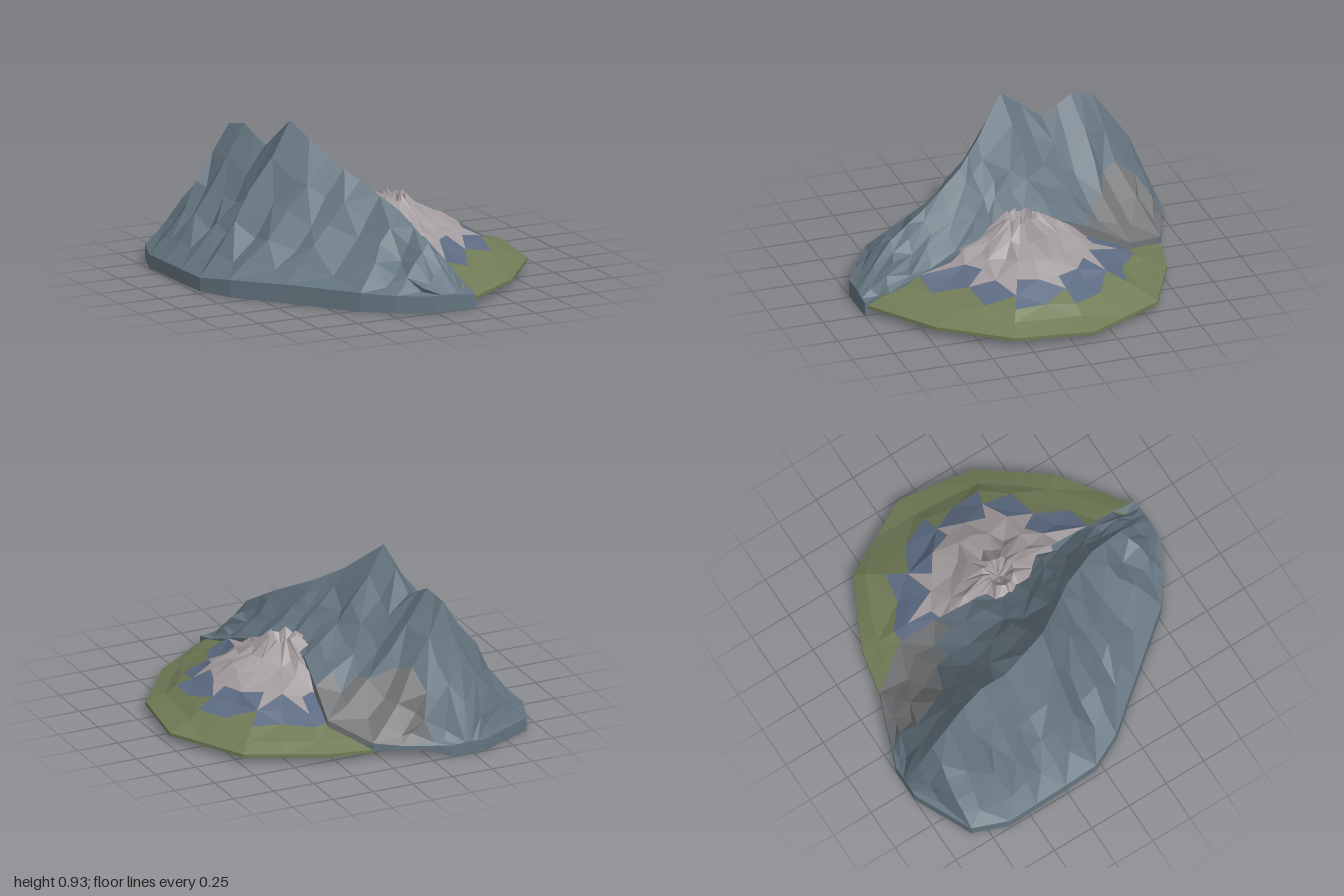
import * as THREE from 'three';

// Repeatable noise in -1..1 for a lattice point
const noise = (i, j, k) => {
  const v = Math.sin(i * 127.1 + j * 311.7 + k * 74.7) * 43758.5453;
  return (v - Math.floor(v)) * 2 - 1;
};
const lerp = (a, b, t) => a.map((v, k) => v + (b[k] - v) * t);

// Insert extra points between the stations of a polyline
function densify(points, steps, closed = false) {
  const out = [];
  const spans = closed ? points.length : points.length - 1;
  for (let i = 0; i < spans; i++) {
    const next = points[(i + 1) % points.length];
    for (let k = 0; k < steps; k++) out.push(lerp(points[i], next, k / steps));
  }
  out.push(closed ? points[0] : points[points.length - 1]);
  return out;
}

// Facet a lattice of rows and sort its triangles into named parts
function facet(rows, partOf, buckets) {
  const add = (...tri) => {
    const c = [0, 1, 2].map(k => (tri[0][k] + tri[1][k] + tri[2][k]) / 3);
    (buckets[partOf(c)] ??= []).push(...tri.flat());
  };
  for (let i = 0; i < rows.length - 1; i++) {
    for (let j = 0; j < rows[i].length - 1; j++) {
      const a = rows[i][j], b = rows[i + 1][j], c = rows[i][j + 1], d = rows[i + 1][j + 1];
      if ((i + j) % 2) { add(a, b, c); add(c, b, d); }
      else { add(a, b, d); add(a, d, c); }
    }
  }
}

// Mountain: a ridge line with a foot line on each side, north to south
const RIDGE = [[-.47, .08, -1], [-.5, .48, -.84], [-.49, .79, -.62], [-.46, .82, -.48], [-.43, .72, -.3],
  [-.4, .93, -.04], [-.25, .74, .15], [-.13, .63, .3], [0, .49, .55], [.06, .35, .78], [.12, .1, 1]];
const WEST = [[-.57, .07, -1], [-.91, .08, -.84], [-.99, .08, -.63], [-.985, .08, -.45], [-.98, .08, -.25],
  [-.97, .08, -.04], [-.88, .1, .15], [-.66, .11, .42], [-.37, .11, .78], [-.2, .1, .9], [-.02, .1, 1]];
const EAST = [[-.37, .07, -1], [-.1, .08, -.9], [.05, .1, -.84], [.22, .18, -.6], [.19, .3, -.38],
  [.15, .38, -.15], [.17, .36, .08], [.21, .33, .3], [.23, .22, .6], [.25, .12, .85], [.25, .08, 1]];

function buildMountain(buckets) {
  const STEPS = 5;
  const ridge = densify(RIDGE, 2), west = densify(WEST, 2), east = densify(EAST, 2);
  const last = ridge.length - 1;

  // A concave slope point, with spurs and gullies on alternating rows
  const slope = (i, foot, s, power, seed) => {
    const p = lerp(ridge[i], foot, s);
    p[1] = foot[1] + (ridge[i][1] - foot[1]) * Math.pow(1 - s, power);
    if (s > 0 && s < 1 && i > 0 && i < last) {
      const rough = Math.sin(Math.PI * s);
      p[0] += .025 * rough * noise(i, s * 5, seed);
      p[1] += rough * ((i % 2 ? -.02 : .02) + .02 * noise(i, s * 5, seed + 1));
      p[2] += .03 * rough * noise(i, s * 5, seed + 2);
    }
    return p;
  };

  const rows = ridge.map((top, i) => {
    const under = [top[0], .07, top[2]];
    const [w, e] = [west[i], east[i]];
    const inner = lerp(w, top, .14);
    const end = i === 0 || i === last;
    const row = [under, [inner[0], .06, inner[2]], [w[0], 0, w[2]]];
    for (let j = STEPS; j >= 0; j--) row.push(slope(i, w, j / STEPS, 1.25, 1));
    for (let j = 1; j <= STEPS; j++) row.push(slope(i, e, j / STEPS, 1.5, 7));
    row.push([e[0], end ? 0 : .05, e[2]], under);
    return row;
  });

  // Vertical walls closing both ends
  const drop = row => row.map(p => [p[0], 0, p[2]]);
  rows.unshift(drop(rows[0]));
  rows.push(drop(rows[rows.length - 1]));

  const part = ([x, y, z]) => (y > .09 && x > -.28 && z < -.46 + .92 * x ? 'screeSlope' : 'mountain');
  facet(rows, part, buckets);
}

// Volcano: rays running from the crater to an angular base outline
const CRATER = [.2, .05];
const OUTLINE = [[.98, -.12], [.91, .34], [.63, .71], [.25, .98], [-.35, .65], [-.8, .1],
  [-.65, -.2], [-.15, -.65], [.05, -.84], [.33, -.78], [.74, -.58]];

function buildVolcano(buckets) {
  const rings = [0, .05, .1, .22, .36, .5, .62, .74, .87, 1];
  const craterHeights = [.35, .38, .45];
  const outline = densify(OUTLINE, 2, true);
  const rays = outline.map((edge, i) => {
    const n = i % (outline.length - 1);
    const ray = rings.map((s, j) => {
      const rough = j > 0 && s < 1 ? 1 : 0;
      const [x, z] = lerp(CRATER, edge, s + rough * Math.min(.05, s * .25) * noise(n, j, 3));
      const y = craterHeights[j] ?? .06 + .4 * Math.pow(1 - s, 1.1);
      return [x, y + rough * .025 * (1 - s) * noise(n, j, 5), z];
    });
    ray.push([edge[0], .04, edge[1]], [CRATER[0], .04, CRATER[1]]);
    return ray;
  });

  // Grass at the foot, a band of blue rock, pale stone on top
  const part = ([x, y, z]) => {
    const level = y + .02 * noise(x, z, 9);
    return level > .235 ? 'volcanoSummit' : level > .155 ? 'volcanoRockBand' : 'grassBase';
  };
  facet(rays, part, buckets);
}

const COLORS = {
  mountain: 0x64747f, screeSlope: 0x757778, volcanoSummit: 0xa39c9f,
  volcanoRockBand: 0x5d6b82, grassBase: 0x707b56,
};

export function createModel() {
  const group = new THREE.Group();
  group.name = 'volcanicIsland';
  const buckets = {};
  buildMountain(buckets);
  buildVolcano(buckets);
  for (const [name, positions] of Object.entries(buckets)) {
    const geometry = new THREE.BufferGeometry();
    geometry.setAttribute('position', new THREE.Float32BufferAttribute(positions, 3));
    geometry.computeVertexNormals();
    const material = new THREE.MeshStandardMaterial({ color: COLORS[name], flatShading: true });
    const mesh = new THREE.Mesh(geometry, material);
    mesh.name = name;
    group.add(mesh);
  }
  return group;
}
